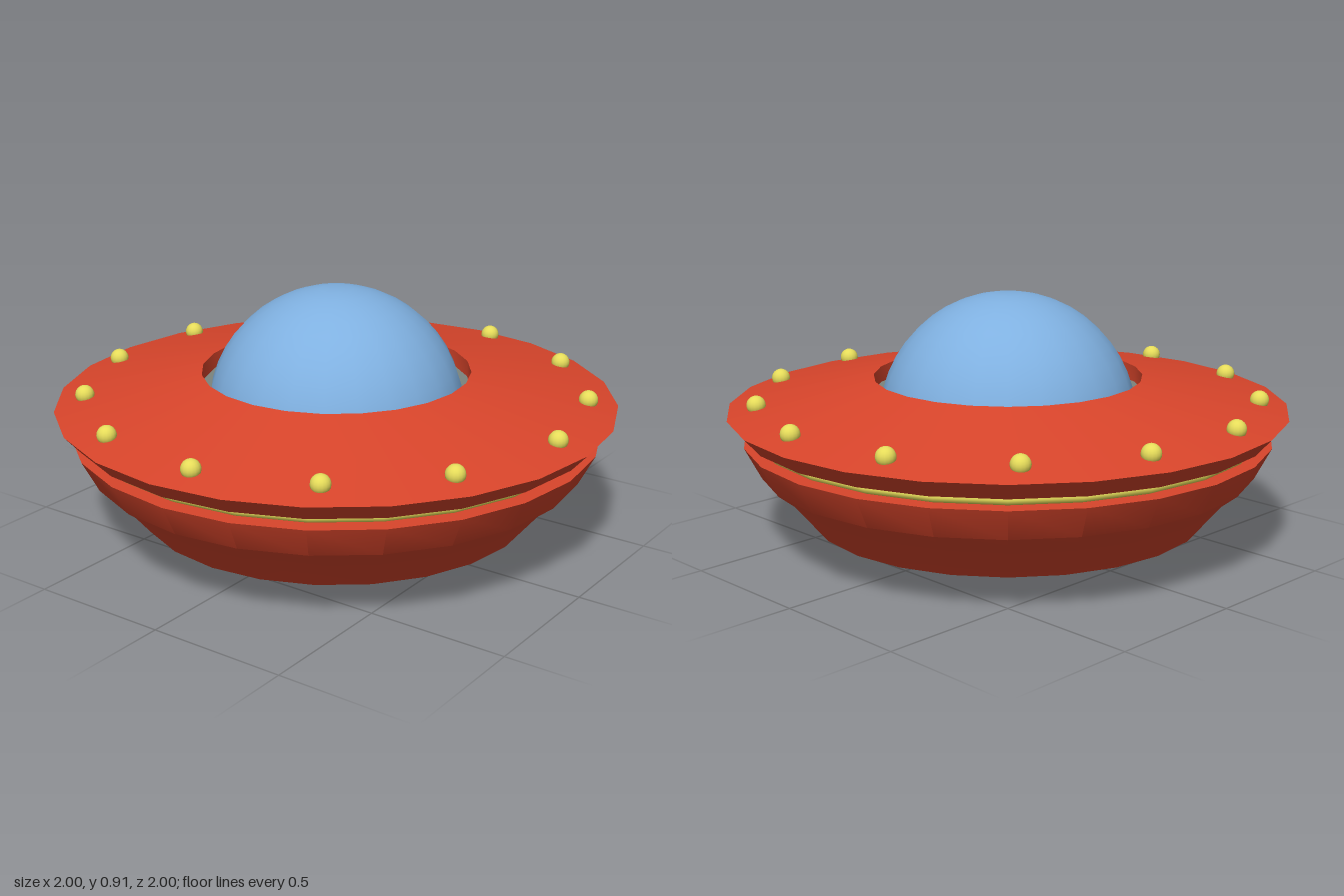
import * as THREE from 'three';
import { toCreasedNormals } from 'three/addons/utils/BufferGeometryUtils.js';

const SIDES = 24;
const paint = (color) => new THREE.MeshStandardMaterial({ color });
const red = paint(0xd9452b);
const blue = paint(0x7fb0e0);
const yellow = paint(0xe6dc5a);
const grey = paint(0x7c847e);

// Round part from a profile of [radius, y], running from the bottom outward and up
function turned(name, profile, material, crease = 0.45) {
  const points = profile.map(([r, y]) => new THREE.Vector2(r, y));
  const geometry = toCreasedNormals(new THREE.LatheGeometry(points, SIDES), crease);
  const mesh = new THREE.Mesh(geometry, material);
  mesh.name = name;
  return mesh;
}

export function createModel() {
  const model = new THREE.Group();
  model.name = 'flyingSaucer';

  // Thruster under the hull
  model.add(turned('nozzle', [[0, 0], [0.225, 0], [0.235, 0.01], [0.235, 0.06]], red));
  model.add(turned('thrusterCollar', [[0.2, 0.045], [0.24, 0.045], [0.298, 0.075], [0.298, 0.12]], grey));

  // Lower bowl and overhanging upper disc, with a sunken seat for the dome
  model.add(turned('lowerHull', [
    [0, 0.108], [0.712, 0.108], [0.83, 0.25], [0.887, 0.295], [0.945, 0.407], [0.86, 0.407],
  ], red));
  model.add(turned('hullCore', [[0.875, 0.4], [0.875, 0.45]], red));
  model.add(turned('upperDisc', [
    [0.86, 0.445], [0.945, 0.445], [1, 0.507], [0.48, 0.616], [0.48, 0.55],
  ], red, 0.35));
  model.add(turned('domeSeat', [[0.485, 0.558], [0.4, 0.558]], grey));

  // Glowing band in the gap
  const band = new THREE.Mesh(new THREE.TorusGeometry(0.88, 0.021, 8, SIDES), yellow);
  band.name = 'glowBand';
  band.rotation.x = Math.PI / 2;
  band.position.y = 0.426;
  model.add(band);

  // Glass dome: arc of a sphere with a small flat cap
  const arc = [];
  for (let a = 82.5; a >= 7.5; a -= 7.5) {
    const t = THREE.MathUtils.degToRad(a);
    arc.push([0.461 * Math.sin(t), 0.451 + 0.461 * Math.cos(t)]);
  }
  arc.push([0, arc.at(-1)[1]]);
  model.add(turned('dome', arc, blue, 0.6));

  // Ring of lights on the disc
  const lights = new THREE.Group();
  lights.name = 'rimLights';
  const bulb = new THREE.SphereGeometry(0.034, 16, 12);
  for (let i = 0; i < 13; i++) {
    const a = THREE.MathUtils.degToRad(i * 27.5);
    const light = new THREE.Mesh(bulb, yellow);
    light.name = 'rimLight';
    light.position.set(0.893 * Math.cos(a), 0.54, -0.893 * Math.sin(a));
    lights.add(light);
  }
  model.add(lights);

  return model;
}
